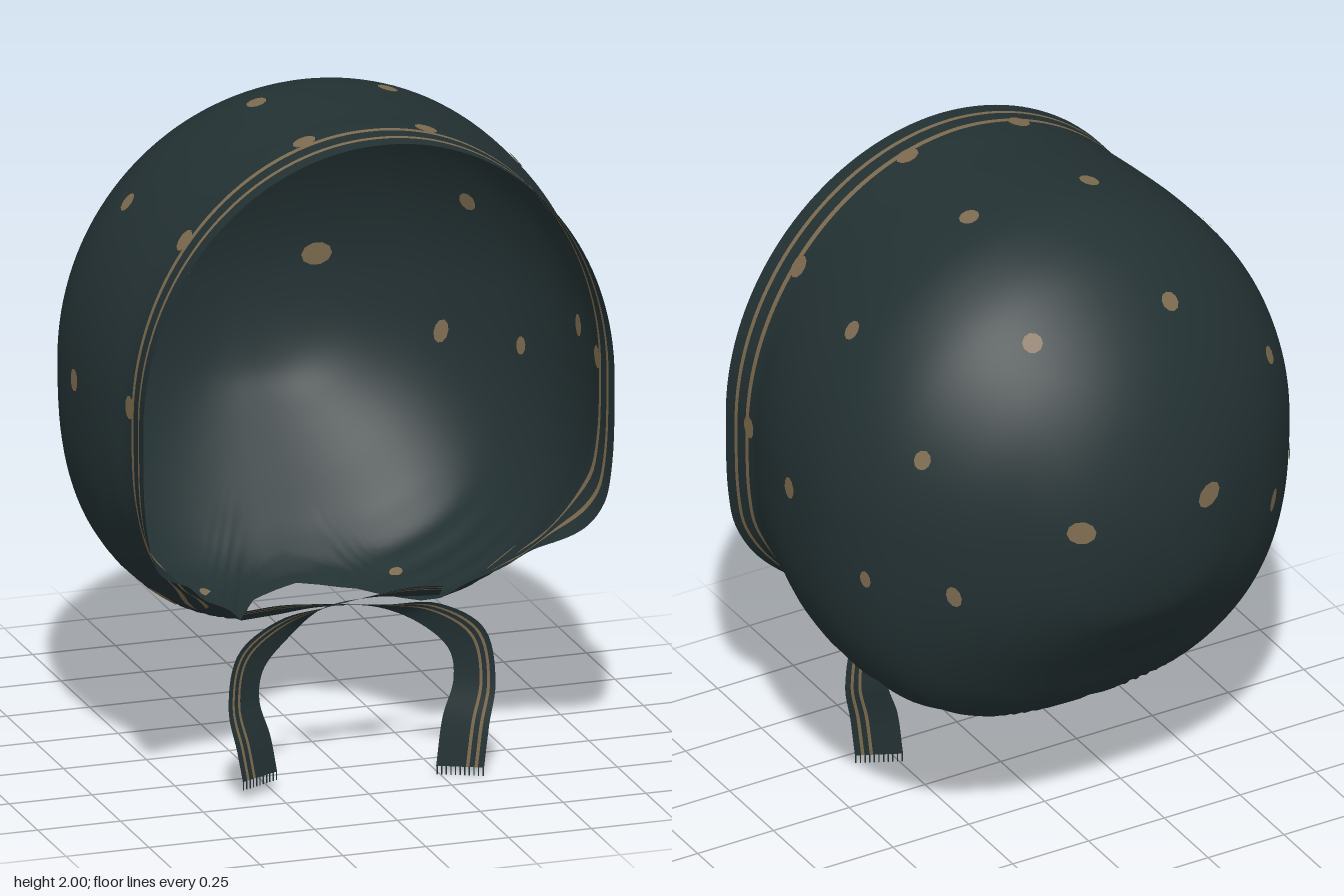
import * as THREE from 'three';

const cloth = new THREE.MeshStandardMaterial({ color: 0x233133, side: THREE.DoubleSide });
cloth.name = 'dark teal cloth';
const trim = new THREE.MeshStandardMaterial({ color: 0x7d6b4f, side: THREE.DoubleSide });
trim.name = 'tan print';

const BACK = -0.605, MID = 1.2, RAD = Math.PI / 180;

// Smooth curve through [key, value...] rows
function sample(rows, k, col) {
  let i = 0;
  while (i < rows.length - 2 && k > rows[i + 1][0]) i++;
  const slope = (n) => {
    const a = rows[Math.max(n - 1, 0)], b = rows[Math.min(n + 1, rows.length - 1)];
    return (b[col] - a[col]) / (b[0] - a[0]);
  };
  const a = rows[i], b = rows[i + 1], h = b[0] - a[0];
  const t = THREE.MathUtils.clamp((k - a[0]) / h, 0, 1), t2 = t * t, t3 = t2 * t;
  return (2 * t3 - 3 * t2 + 1) * a[col] + (t3 - 2 * t2 + t) * h * slope(i)
    + (3 * t2 - 2 * t3) * b[col] + (t3 - t2) * h * slope(i + 1);
}

// Cross-sections along the depth: z, half width, top height, bottom height
const sections = [
  [BACK, 0, 1.2, 1.2], [-0.57, 0.22, 1.42, 0.95], [-0.5, 0.37, 1.59, 0.83],
  [-0.4, 0.52, 1.735, 0.69], [-0.25, 0.66, 1.88, 0.49], [-0.14, 0.72, 1.945, 0.43],
  [0, 0.757, 1.99, 0.42], [0.2, 0.758, 1.997, 0.435], [0.35, 0.735, 1.994, 0.51],
  [0.45, 0.707, 1.997, 0.56], [0.602, 0.712, 1.985, 0.5],
].map(([z, ...v]) => [Math.sqrt(z - BACK), ...v]);

// Open edge (face rim, chin and nape): elevation angle, z
const edge = [
  [-90, -0.14], [-83, -0.07], [-78, 0.08], [-75, 0.18], [-71, 0.27], [-62, 0.34],
  [-46, 0.46], [-20, 0.575], [-10, 0.585], [0, 0.588], [90, 0.602],
];
const elevation = (deg) => (deg > 90 ? 180 - deg : deg);
const edgeZ = (deg) => sample(edge, elevation(deg), 1);

// Point on the cap at an angle around the z axis and a depth z
function capPoint(deg, z) {
  const q = Math.sqrt(Math.max(z - BACK, 0));
  const w = sample(sections, q, 1), c = Math.cos(deg * RAD), s = Math.sin(deg * RAD);
  const n = s >= 0 ? 2 : 2.6 + 0.9 * THREE.MathUtils.smoothstep(z, 0.3, 0.58);
  const h = s >= 0 ? sample(sections, q, 2) - MID : MID - sample(sections, q, 3);
  const x = Math.sign(c) * w * Math.abs(c) ** (2 / n);
  const y = Math.sign(s) * h * Math.abs(s) ** (2 / n);
  // gathers near the neck
  const gather = 1 - THREE.MathUtils.smoothstep(y + MID, 0.44, 0.72);
  const k = 1 + 0.012 * gather * Math.sin(z * 55);
  return new THREE.Vector3(x * k, MID + y * (1 + (k - 1) * 0.4), z);
}

// Grid of points to a mesh; isTrim(row, column) picks the printed cells
function gridMesh(name, rows, wrap, isTrim) {
  const cols = rows[0].length, sets = [[], []];
  for (let i = 0; i < rows.length - 1; i++) {
    for (let j = 0; j < cols - (wrap ? 0 : 1); j++) {
      const k = (j + 1) % cols, a = i * cols + j, b = i * cols + k;
      sets[isTrim(i, j) ? 1 : 0].push(a, b, a + cols, b, b + cols, a + cols);
    }
  }
  const geo = new THREE.BufferGeometry().setFromPoints(rows.flat());
  geo.setIndex([...sets[0], ...sets[1]]);
  geo.addGroup(0, sets[0].length, 0);
  geo.addGroup(sets[0].length, sets[1].length, 1);
  geo.computeVertexNormals();
  const mesh = new THREE.Mesh(geo, [cloth, trim]);
  mesh.name = name;
  return mesh;
}

// Cap with two printed stripes following the face rim
function makeCap() {
  const STEPS = 56, COLS = 144, angle = (j) => -90 + (j * 360) / COLS;
  const borders = [0.102, 0.06, 0.045, 0];
  const rows = [];
  for (let i = 0; i <= STEPS + borders.length; i++) {
    const row = [];
    for (let j = 0; j < COLS; j++) {
      const deg = angle(j), end = edgeZ(deg);
      const t = Math.min(i / STEPS, 1);
      const z = i <= STEPS
        ? BACK + (end - 0.12 - BACK) * (0.6 * t * t + 0.4 * (1 - Math.cos(t * Math.PI / 2)))
        : end - borders[i - STEPS - 1];
      row.push(capPoint(deg, z));
    }
    rows.push(row);
  }
  return gridMesh('cap', rows, true, (i, j) =>
    (i === STEPS || i === STEPS + 2) && elevation(angle(j)) > -62);
}

// Printed spot: thin faces on the outside and inside of the cap
function makeSpot(deg, z, ra, rz) {
  const p = capPoint(deg, z);
  const along = capPoint(deg, z + 0.01).sub(capPoint(deg, z - 0.01)).normalize();
  const around = capPoint(deg + 1, z).sub(capPoint(deg - 1, z)).normalize();
  const normal = around.clone().cross(along).normalize();
  const across = along.clone().cross(normal).normalize();
  const spot = new THREE.Group();
  spot.name = 'spot';
  for (const side of [1, -1]) {
    const face = new THREE.Mesh(new THREE.CircleGeometry(1, 10), trim);
    face.name = side > 0 ? 'outerSpot' : 'innerSpot';
    face.geometry.scale(ra, rz, 1);
    face.geometry.applyMatrix4(new THREE.Matrix4().makeBasis(
      across.clone().multiplyScalar(side), along, normal.clone().multiplyScalar(side)));
    face.position.copy(p).addScaledVector(normal, 0.004 * side);
    spot.add(face);
  }
  return spot;
}

// Ribbon tie: centre line and half-width vectors, ending in a fringe
function makeTie(name, mirror, drop, lift) {
  const path = [
    [0.3, 0.5, 0.265, 0, 0.02, 0.02], [0.2, 0.515, 0.29, 0, 0.02, 0.02],
    [0.08, 0.525, 0.32, 0, 0.014, 0.03], [-0.08, 0.52, 0.36, 0, 0.014, 0.035],
    [-0.22, 0.485, 0.39, -0.02, 0.035, 0.02], [-0.325, 0.405, 0.41, -0.045, 0.035, 0.022],
    [-0.348, 0.28, 0.415, -0.055, 0, 0.025], [-0.32, 0.16, 0.42, -0.06, -0.01, 0.03],
    [-0.302, drop, 0.422, -0.062, 0, 0.03],
  ];
  const side = (s) => new THREE.CatmullRomCurve3(path.map(([x, y, z, a, b, c], i) =>
    new THREE.Vector3(mirror * (x + s * a), y + s * b + (i < 4 ? lift : 0), z + s * c)));
  const outer = side(1), inner = side(-1);
  const cuts = [0, 0.13, 0.2, 0.31, 0.38, 0.7, 1];
  const rows = [];
  for (let i = 0; i <= 60; i++) {
    const a = outer.getPoint(i / 60), b = inner.getPoint(i / 60);
    rows.push(cuts.map((f) => a.clone().lerp(b, f)));
  }
  const tie = new THREE.Group();
  tie.name = name;
  tie.add(gridMesh('ribbon', rows, false, (i, j) => j === 1 || j === 3));
  const a = outer.getPoint(1), b = inner.getPoint(1);
  for (let i = 0; i < 11; i++) {
    const thread = new THREE.Mesh(new THREE.BoxGeometry(0.003, 0.026, 0.003), cloth);
    thread.name = 'fringeThread';
    thread.position.copy(a).lerp(b, 0.02 + i * 0.096);
    thread.position.y -= 0.012;
    tie.add(thread);
  }
  return tie;
}

export function createModel() {
  const bonnet = new THREE.Group();
  bonnet.name = 'bonnet';
  bonnet.add(makeCap());

  // Spots on one half, mirrored: angle, z, radius around, radius along
  const spots = [
    [18, -0.57, 0.035, 0.045], [68, -0.32, 0.03, 0.03], [25, -0.29, 0.03, 0.025],
    [40, 0.085, 0.03, 0.026], [75, 0.088, 0.03, 0.03], [1, 0.135, 0.034, 0.027],
    [-6.5, -0.185, 0.028, 0.018], [-10.7, -0.39, 0.036, 0.022],
    [75, 0.465, 0.035, 0.03], [40, 0.462, 0.035, 0.03], [2, 0.46, 0.035, 0.03],
    [-53, 0.18, 0.055, 0.012], [-73, -0.1, 0.02, 0.02],
  ];
  for (const [deg, z, ra, rz] of spots) {
    bonnet.add(makeSpot(deg, z, ra, rz), makeSpot(180 - deg, z, ra, rz));
  }

  // Ties cross under the chin
  bonnet.add(makeTie('rightTie', 1, 0.06, 0.006), makeTie('leftTie', -1, 0.025, -0.006));
  return bonnet;
}
